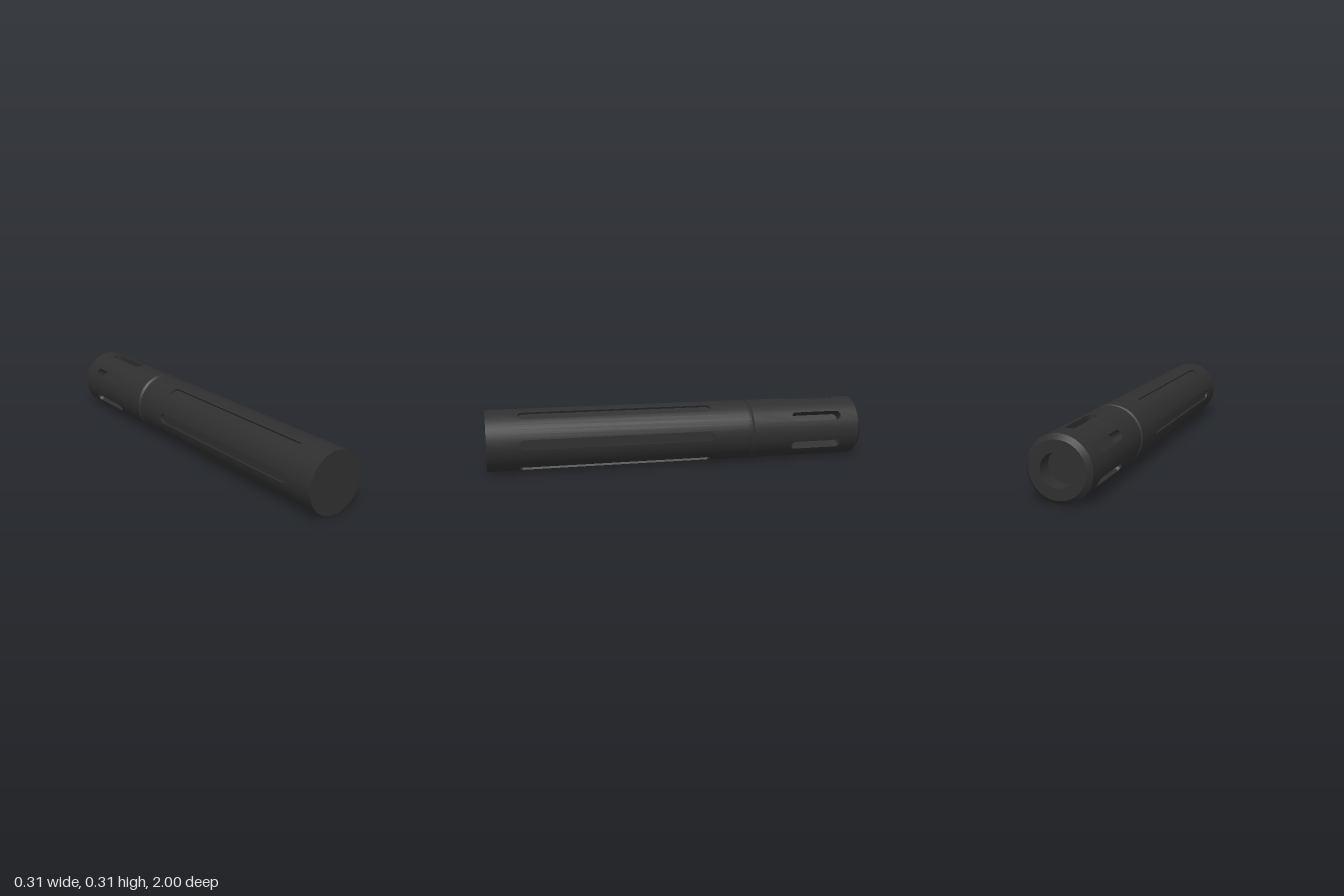
import * as THREE from 'three';

const R = 0.157;                       // tube radius
const STEP = Math.PI / 18;             // one facet of the round surface
const HALF = R * Math.sin(STEP);       // half width of a slotted panel
const SLOT = 0.025;                    // half width of a slot

const black = new THREE.MeshStandardMaterial({ color: 0x2f2f2f });
black.name = 'matte black';

function mesh(geometry, name) {
  const m = new THREE.Mesh(geometry, black);
  m.name = name;
  return m;
}

// Turned surface along z through [radius, z] points, each segment sharply creased
function turned(name, profile) {
  const group = new THREE.Group();
  group.name = name;
  for (let i = 0; i < profile.length - 1; i++) {
    const pts = [profile[i], profile[i + 1]].map(([r, z]) => new THREE.Vector2(r, z));
    group.add(mesh(new THREE.LatheGeometry(pts, 36).rotateX(Math.PI / 2), name + 'Face'));
  }
  return group;
}

// Slot outline with round ends; shape y is -z
function slotPoints(z0, z1) {
  const p = new THREE.Path();
  p.absarc(0, -z0 - SLOT, SLOT, 0, Math.PI, false);
  p.absarc(0, -z1 + SLOT, SLOT, Math.PI, Math.PI * 2, false);
  p.closePath();
  const pts = p.getPoints(8);
  if (pts[0].distanceTo(pts[pts.length - 1]) < 1e-6) pts.pop();
  return pts;
}

const surfaceHeight = (u) => Math.sqrt(R * R - u * u);

// Curved panel with the slot cut out of it
function panelGeometry(z0, z1, slot) {
  const shape = new THREE.Shape([
    [-HALF, -z1], [0, -z1], [HALF, -z1], [HALF, -z0], [0, -z0], [-HALF, -z0],
  ].map(([x, y]) => new THREE.Vector2(x, y)));
  shape.holes.push(new THREE.Path(slot));
  const g = new THREE.ShapeGeometry(shape);
  const pos = g.attributes.position, nor = g.attributes.normal;
  for (let i = 0; i < pos.count; i++) {
    const u = pos.getX(i), h = surfaceHeight(u);
    pos.setXYZ(i, u, h, -pos.getY(i));
    nor.setXYZ(i, u / R, h / R, 0);
  }
  return g;
}

// Walls running from the surface down to the slot floor
function wallGeometry(slot, floor) {
  const verts = [];
  slot.forEach((p, i) => {
    const q = slot[(i + 1) % slot.length];
    const a = [p.x, surfaceHeight(p.x), -p.y], b = [q.x, surfaceHeight(q.x), -q.y];
    const c = [q.x, floor, -q.y], d = [p.x, floor, -p.y];
    verts.push(...a, ...b, ...c, ...a, ...c, ...d);
  });
  const g = new THREE.BufferGeometry();
  g.setAttribute('position', new THREE.Float32BufferAttribute(verts, 3));
  g.computeVertexNormals();
  return g;
}

// Tube from z0 to z1 with six slots around it
function slottedTube(name, z0, z1, s0, s1, depth, turn) {
  const group = new THREE.Group();
  group.name = name;
  const slot = slotPoints(s0, s1);
  const panel = panelGeometry(z0, z1, slot);
  const walls = wallGeometry(slot, R - depth);
  const floor = new THREE.ShapeGeometry(new THREE.Shape(slot))
    .rotateX(-Math.PI / 2).translate(0, R - depth, 0);
  const arc = new THREE.CylinderGeometry(R, R, z1 - z0, 4, 1, true, Math.PI + STEP, STEP * 4)
    .rotateX(Math.PI / 2).translate(0, 0, (z0 + z1) / 2);
  for (let i = 0; i < 6; i++) {
    const sector = new THREE.Group();
    sector.name = name + 'Sector';
    sector.rotation.z = turn + i * Math.PI / 3;
    sector.add(mesh(panel, 'slottedPanel'), mesh(walls, 'slotWalls'),
      mesh(floor, 'slotFloor'), mesh(arc, 'plainPanel'));
    group.add(sector);
  }
  return group;
}

export function createModel() {
  const model = new THREE.Group();
  model.name = 'slottedCylinder';
  const axis = new THREE.Group();
  axis.name = 'tubeAssembly';
  axis.position.y = R;

  // Long body with shallow flutes, short rear section with deep slots
  axis.add(slottedTube('body', -0.36, 1, -0.16, 0.84, 0.013, Math.PI / 6));
  axis.add(slottedTube('rearSection', -0.977, -0.385, -0.88, -0.6, 0.055, 0));

  // Rear bore, end face and chamfer
  axis.add(turned('rearEnd', [[0, -0.92], [0.08, -0.92], [0.08, -1], [0.135, -1], [R, -0.977]]));
  // Groove between the sections
  axis.add(turned('jointGroove', [[R, -0.385], [0.147, -0.375], [0.147, -0.365], [R, -0.36]]));
  // Flat front cap
  axis.add(turned('frontCap', [[R, 1], [0, 1]]));

  model.add(axis);
  return model;
}
